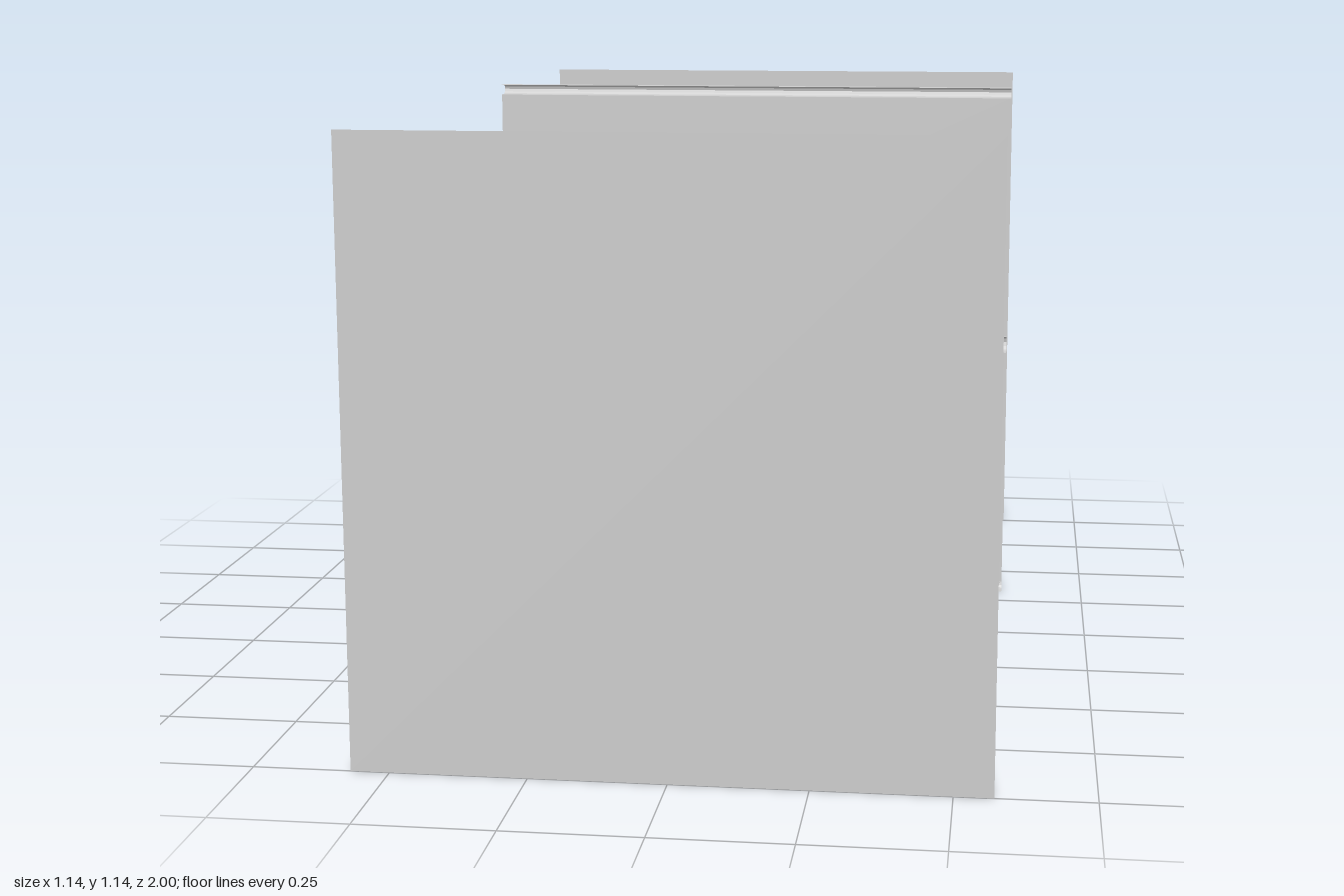
import * as THREE from 'three';

const W = 1.142, H = 1.142, PANEL_Z = -0.329;

export function createModel() {
  const model = new THREE.Group();
  const material = new THREE.MeshStandardMaterial({
    color: 0xcccccc, side: THREE.DoubleSide, flatShading: true,
  });

  function addPanel(name, y0, y1, z) {
    const mesh = new THREE.Mesh(new THREE.PlaneGeometry(W, y1 - y0), material);
    mesh.position.set(0, (y0 + y1) / 2, z);
    mesh.name = name;
    model.add(mesh);
  }

  // Open-ended channel: a [z, y] profile swept across the full width
  function addRail(name, profile) {
    const positions = [];
    for (let i = 0; i < profile.length - 1; i++) {
      const [z0, y0] = profile[i], [z1, y1] = profile[i + 1];
      const a = [-W / 2, y0, z0], b = [W / 2, y0, z0];
      const c = [W / 2, y1, z1], d = [-W / 2, y1, z1];
      positions.push(...a, ...b, ...c, ...a, ...c, ...d);
    }
    const geometry = new THREE.BufferGeometry();
    geometry.setAttribute('position', new THREE.Float32BufferAttribute(positions, 3));
    geometry.computeVertexNormals();
    const mesh = new THREE.Mesh(geometry, material);
    mesh.name = name;
    model.add(mesh);
  }

  // Rounded channel section, open toward the front, between two heights
  function channel(y0, y1) {
    const r = (y1 - y0) / 2, mid = (y0 + y1) / 2;
    const depth = Math.min(r, 0.018), points = [[-0.323, y1]];
    for (let i = 0; i <= 6; i++) {
      const t = (i / 6) * Math.PI;
      points.push([-0.36 + depth - depth * Math.sin(t), mid + r * Math.cos(t)]);
    }
    points.push([-0.323, y0]);
    return points;
  }

  // Large flat sheets at the front and back
  addPanel('frontSheet', 0, H, 1);
  addPanel('backSheet', 0, H, -1);

  // Middle screen in two halves, joined by horizontal channels
  addPanel('lowerScreen', 0.022, 0.553, PANEL_Z);
  addPanel('upperScreen', 0.589, H - 0.022, PANEL_Z);
  addRail('bottomRail', channel(0, 0.022));
  addRail('middleRail', channel(0.553, 0.589));
  addRail('topRail', channel(H - 0.022, H));

  return model;
}
